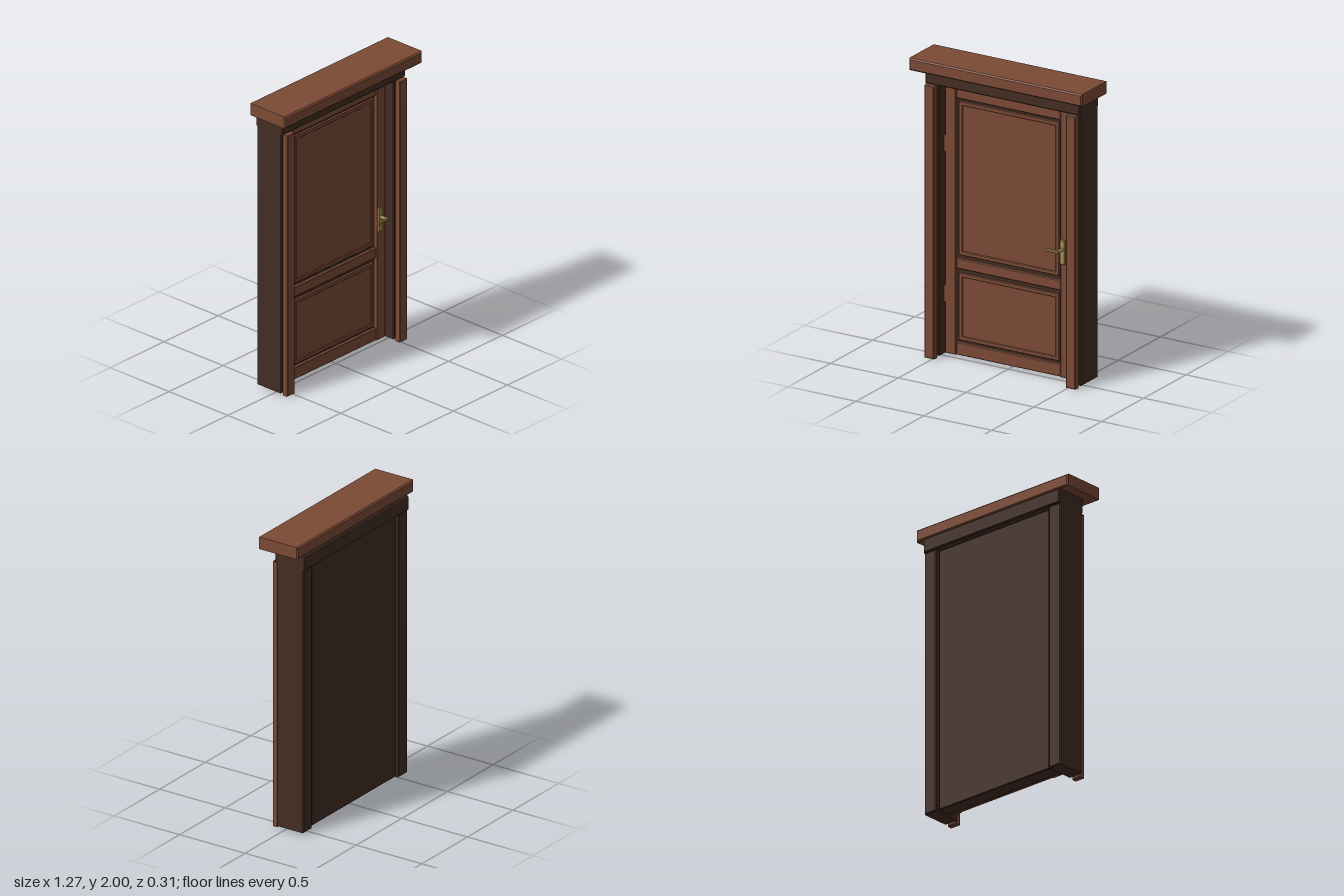
import * as THREE from 'three';

const brown = new THREE.MeshStandardMaterial({ color: 0x7b4a35 });
brown.name = 'warm brown wood';
const dark = new THREE.MeshStandardMaterial({ color: 0x432d24 });
dark.name = 'dark brown wood';
const brass = new THREE.MeshStandardMaterial({ color: 0xa88d52 });
brass.name = 'aged brass';

// Box between two corners, with every edge chamfered by c
function block(name, mat, [x0, x1], [y0, y1], [z0, z1], c = 0.005) {
  const w = (x1 - x0) / 2 - c, h = (y1 - y0) / 2 - c;
  const s = new THREE.Shape();
  s.moveTo(-w, -h);
  s.lineTo(w, -h);
  s.lineTo(w, h);
  s.lineTo(-w, h);
  s.closePath();
  // The outline is mitred outward by the bevel to full size
  const g = new THREE.ExtrudeGeometry(s, {
    depth: z1 - z0 - 2 * c, bevelEnabled: true, bevelSize: c, bevelThickness: c, bevelSegments: 1,
  });
  const m = new THREE.Mesh(g, mat);
  m.name = name;
  m.position.set((x0 + x1) / 2, (y0 + y1) / 2, z0 + c);
  return m;
}

// Raised rectangular frame of width t
function rim(name, mat, [x0, x1], [y0, y1], [z0, z1], t) {
  const rect = (P, d) => {
    const p = new P();
    p.moveTo(x0 + d, y0 + d);
    p.lineTo(x1 - d, y0 + d);
    p.lineTo(x1 - d, y1 - d);
    p.lineTo(x0 + d, y1 - d);
    p.closePath();
    return p;
  };
  const c = 0.003;
  const s = rect(THREE.Shape, c);
  s.holes.push(rect(THREE.Path, t - c));
  const g = new THREE.ExtrudeGeometry(s, {
    depth: z1 - z0 - 2 * c, bevelEnabled: true, bevelSize: c, bevelThickness: c, bevelSegments: 1,
  });
  const m = new THREE.Mesh(g, mat);
  m.name = name;
  m.position.z = z0 + c;
  return m;
}

function createModel() {
  const model = new THREE.Group();
  model.name = 'panelledDoor';

  // Surround: cornice, header, jambs and front casings
  const surround = new THREE.Group();
  surround.name = 'surround';
  surround.add(
    block('cornice', brown, [-0.637, 0.637], [1.918, 2], [-0.15, 0.155], 0.009),
    block('header', dark, [-0.57, 0.57], [1.82, 1.915], [-0.158, 0.072], 0.007),
  );
  for (const [side, s] of [['left', 1], ['right', -1]]) {
    const span = (a, b) => (s > 0 ? [a, b] : [-b, -a]);
    surround.add(
      block(side + 'Jamb', dark, span(0.474, 0.57), [0.015, 1.82], [-0.146, 0.06], 0.006),
      block(side + 'Casing', brown, span(0.487, 0.557), [0, 1.82], [0.058, 0.1], 0.005),
    );
  }
  model.add(surround);

  // Door leaf: dark core with stiles, rails and panels in front
  const leaf = new THREE.Group();
  leaf.name = 'doorLeaf';
  leaf.add(block('core', dark, [-0.465, 0.46], [0.02, 1.81], [-0.13, -0.028]));
  for (const [name, x] of [['hingeStile', [-0.465, -0.388]], ['lockStile', [0.385, 0.46]]]) {
    leaf.add(block(name, brown, x, [0.02, 1.81], [-0.03, 0], 0.004));
  }
  for (const [name, y] of [['bottomRail', [0.022, 0.105]], ['middleRail', [0.597, 0.665]], ['topRail', [1.733, 1.808]]]) {
    leaf.add(block(name, brown, [-0.386, 0.383], y, [-0.03, -0.004], 0.004));
  }
  for (const [name, y] of [['lower', [0.121, 0.568]], ['upper', [0.688, 1.713]]]) {
    const x = [-0.371, 0.368];
    leaf.add(
      block(name + 'Panel', brown, [x[0] + 0.003, x[1] - 0.003], [y[0] + 0.003, y[1] - 0.003], [-0.032, -0.019], 0.002),
      rim(name + 'Moulding', brown, x, y, [-0.03, -0.01], 0.026),
    );
  }
  model.add(leaf);

  // Hinges bridging the gap beside the leaf
  for (const [name, y] of [['lowerHinge', 0.36], ['upperHinge', 1.36]]) {
    model.add(block(name, brown, [-0.48, -0.46], [y, y + 0.11], [-0.02, 0], 0.002));
  }

  // Lever handle
  const handle = new THREE.Group();
  handle.name = 'handle';
  const neck = new THREE.Mesh(new THREE.CylinderGeometry(0.011, 0.011, 0.06, 12), brass);
  neck.name = 'handleNeck';
  neck.rotation.x = Math.PI / 2;
  neck.position.set(0.405, 0.88, 0.038);
  handle.add(
    block('handlePlate', brass, [0.387, 0.424], [0.78, 0.94], [-0.002, 0.014], 0.003),
    neck,
    block('handleLever', brass, [0.318, 0.416], [0.871, 0.889], [0.056, 0.074], 0.004),
  );
  model.add(handle);

  return model;
}

export { createModel };
